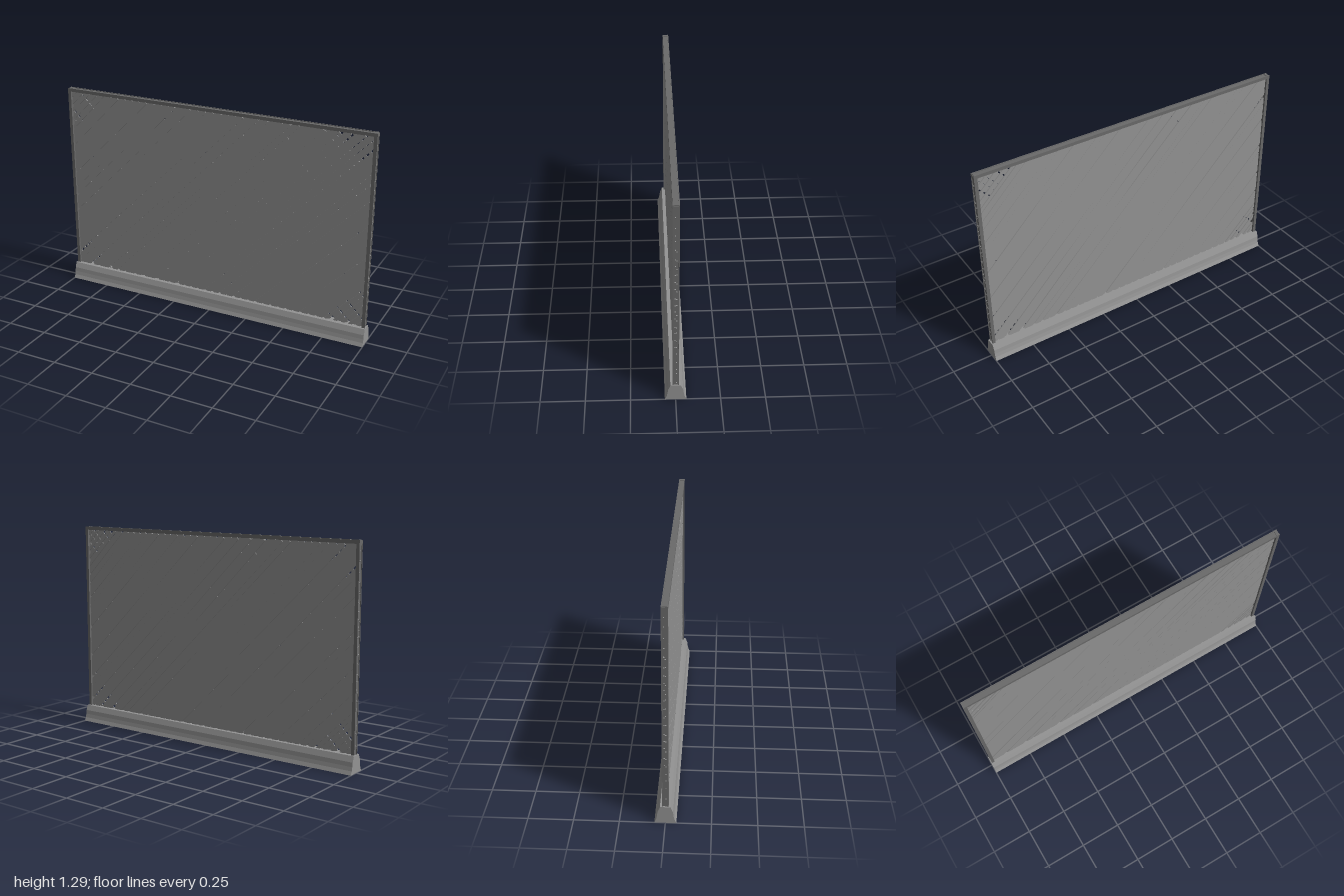
import * as THREE from 'three';

const grey = new THREE.MeshStandardMaterial({ color: 0x939393, flatShading: true });
const darkGrey = new THREE.MeshStandardMaterial({ color: 0x6a6a6a, flatShading: true });

// Inner opening of the frame
const HALF_W = 0.982, HALF_H = 0.586, MID_Y = 0.686;

// Small seeded generator, returns -1..1
function makeJitter(seed) {
  return () => {
    seed = (seed * 16807) % 2147483647;
    return (seed / 2147483647) * 2 - 1;
  };
}

function addMesh(parent, name, geometry, material) {
  const mesh = new THREE.Mesh(geometry, material);
  mesh.name = name;
  parent.add(mesh);
  return mesh;
}

// Extrude a profile and centre it along its length
function bar(points, length) {
  const shape = new THREE.Shape(points.map(([x, y]) => new THREE.Vector2(x, y)));
  const g = new THREE.ExtrudeGeometry(shape, { depth: length, bevelEnabled: false });
  return g.translate(0, 0, -length / 2);
}

// Range of a line (point p, direction d) inside the frame opening
function clipLine(px, py, dx, dy) {
  const tx = [(-HALF_W - px) / dx, (HALF_W - px) / dx].sort((a, b) => a - b);
  const ty = [(-HALF_H - py) / dy, (HALF_H - py) / dy].sort((a, b) => a - b);
  return [Math.max(tx[0], ty[0]), Math.min(tx[1], ty[1])];
}

// One layer of closely laid, slightly uneven diagonal slats
function slatLayer(name, sign, z, seed) {
  const layer = new THREE.Group();
  layer.name = name;
  const jitter = makeJitter(seed);
  const pitch = 0.035;
  for (let i = -32; i <= 32; i++) {
    const angle = sign * (Math.PI / 4 + jitter() * 0.013);
    const offset = i * pitch + jitter() * 0.002;
    const dx = Math.cos(angle), dy = Math.sin(angle);
    const px = -dy * offset, py = dx * offset;
    const [t0, t1] = clipLine(px, py, dx, dy);
    if (t1 - t0 < 0.03) continue;
    // the short corner slats are narrower, leaving an open lattice
    const width = Math.abs(offset) > 0.93 ? 0.018 : 0.036;
    const slat = addMesh(layer, 'slat', new THREE.BoxGeometry(t1 - t0, width, 0.006), grey);
    const t = (t0 + t1) / 2;
    slat.position.set(px + dx * t, MID_Y + py + dy * t, z);
    slat.rotation.z = angle;
  }
  return layer;
}

export function createModel() {
  const model = new THREE.Group();
  model.name = 'fencePanel';

  // Base beam with flared foot
  const half = [[0.06, 0], [0.05, 0.022], [0.045, 0.045], [0.042, 0.07], [0.029, 0.103]];
  const mirrored = half.map(([x, y]) => [-x, y]).reverse();
  addMesh(model, 'base', bar([...half, ...mirrored], 2), grey).rotation.y = Math.PI / 2;

  // Square frame bars with a shallow groove along the outer side (+x)
  const frame = new THREE.Group();
  frame.name = 'frame';
  model.add(frame);
  const a = 0.01, b = 0.018, lip = 0.013, groove = 0.006;
  const section = [[-a, -b], [a, -b], [a, -lip], [groove, -lip],
    [groove, lip], [a, lip], [a, b], [-a, b]];
  for (const side of [-1, 1]) {
    const geometry = bar(section, 1.19).rotateX(Math.PI / 2);
    const post = addMesh(frame, side > 0 ? 'leftPost' : 'rightPost', geometry, darkGrey);
    post.position.set(side * 0.985, 0.695, 0);
    if (side < 0) post.rotation.y = Math.PI;
  }
  const railGeometry = bar(section, 1.99).rotateZ(Math.PI / 2).rotateY(Math.PI / 2);
  addMesh(frame, 'topRail', railGeometry, darkGrey).position.y = 1.28;

  // Two crossing slat layers
  model.add(slatLayer('frontSlats', 1, 0.004, 4711));
  model.add(slatLayer('backSlats', -1, -0.004, 9203));

  return model;
}
